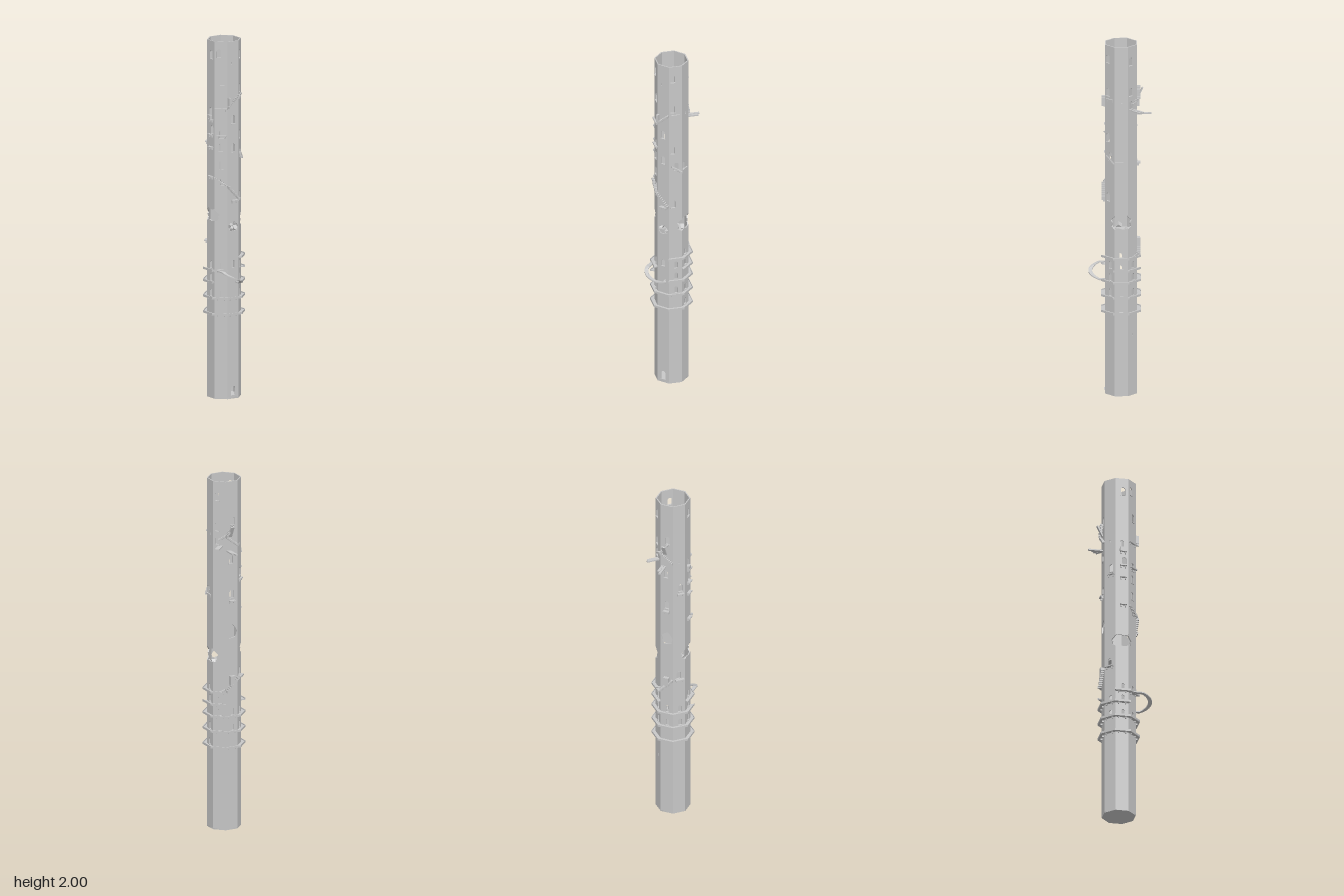
import * as THREE from 'three';

const CX = -0.008, CZ = -0.008;        // tower axis
const A = 0.0875;                      // apothem of the octagonal shaft
const T = Math.tan(Math.PI / 8);
const S = A * T;                       // half width of one side
const H = 2, WALL = 0.006;

// sides run 0 front, 1 front right, 2 +x, 3, 4 back, 5, 6 -x, 7 front left
const perSide = () => Array.from({ length: 8 }, () => []);
const points = list => list.map(([x, y]) => new THREE.Vector2(x, y));

// arched openings: door, rows above the galleries, then scattered upper windows
function layOutWindows() {
  const sides = perSide();
  const put = (k, u, y, w = 0.024, h = 0.047) => sides[k].push({ u, y, w, h });
  put(0, 0, 0.02, 0.028, 0.05);
  put(2, 0, 0.48, 0.02, 0.035);
  put(2, 0, 0.795, 0.02, 0.035);
  put(0, 0, 0.735, 0.02, 0.04);
  for (const k of [1, 2, 3, 4, 5, 6, 7]) put(k, 0.004, 0.57, 0.02, 0.04);
  for (const k of [1, 3, 4, 5, 6]) put(k, 0.004, 0.657, 0.02, 0.04);
  for (const k of [1, 2, 3, 6, 7]) put(k, 0.004, 0.727, 0.02, 0.04);
  const upper = {
    0: [[0, 1.54], [0, 1.38]],
    1: [[-0.014, 1.9], [-0.014, 1.71], [-0.014, 1.45], [0.006, 1.345], [-0.012, 1.11]],
    2: [[-0.018, 1.34]],
    3: [[-0.014, 1.89], [-0.014, 1.715], [-0.012, 1.64]],
    4: [[0.005, 1.75], [-0.005, 1.53], [0, 1.33]],
    5: [[0.008, 1.44], [-0.002, 0.875]],
    6: [[0.006, 1.9], [0, 1.58], [0.012, 1.48]],
    7: [[-0.012, 1.91], [0.008, 1.755], [0.004, 1.46], [0, 1.385], [0, 1.285], [0.01, 1.195]],
  };
  for (const k in upper) for (const [u, y] of upper[k]) put(k, u, y);
  // narrow slits
  for (const [k, u, y] of [[0, -0.01, 1.87], [2, 0.003, 1.68], [3, 0, 0.34], [5, 0, 1.62]]) put(k, u, y, 0.007, 0.016);
  return sides;
}

function arch({ u, y, w, h }) {
  const p = new THREE.Path(), r = w / 2;
  p.moveTo(u - r, y);
  p.lineTo(u + r, y);
  p.lineTo(u + r, y + h - r);
  p.absarc(u, y + h - r, r, 0, Math.PI, false);
  p.lineTo(u - r, y);
  return p;
}

// wall outlines; a gap splits one side and bites into both neighbours
function layOutWalls() {
  const corners = [[-S, 0], [S, 0], [S, H], [-S, H]];
  const walls = Array.from({ length: 8 }, () => [corners]);
  const gap = (k, lo, hi) => {
    const ragged = y => [-1, -0.4, 0.3, 1].map((t, i) => [t * S, y + (i % 2 ? 0.007 : 0)]);
    const bite = [[S, lo], [0.012, lo + 0.015], [0.018, (lo + hi) / 2], [0.007, hi - 0.025], [S, hi]];
    walls[k] = [
      [[S, 0], ...ragged(lo).reverse(), [-S, 0]],
      [...ragged(hi), [S, H], [-S, H]],
    ];
    walls[k - 1] = [[[-S, 0], [S, 0], ...bite, [S, H], [-S, H]]];
    walls[k + 1] = [[[-S, 0], ...bite.map(([x, y]) => [-x, y]), [-S, H], [S, H], [S, 0]]];
  };
  gap(2, 0.955, 1.03);
  gap(6, 0.99, 1.055);
  return walls;
}

// irregular breach: a rounded ring of corners with a wobbling radius
function breach(y, rx, ry) {
  return new THREE.Path(points(Array.from({ length: 9 }, (_, i) => {
    const a = i / 9 * Math.PI * 2, r = 1 - 0.15 * (i % 2);
    return [Math.cos(a) * rx * r, y + Math.sin(a) * ry * r];
  })));
}

export function createModel() {
  const model = new THREE.Group();
  model.name = 'octagonalTower';
  const stone = new THREE.MeshStandardMaterial({ color: 0xc8c8c8 });
  stone.name = 'grey stone';

  const add = (parent, name, geometry, x = 0, y = 0, z = 0) => {
    const mesh = new THREE.Mesh(geometry, stone);
    mesh.name = name;
    mesh.position.set(x, y, z);
    parent.add(mesh);
    return mesh;
  };
  const box = (parent, name, w, h, d, x, y, z) => add(parent, name, new THREE.BoxGeometry(w, h, d), x, y, z);

  // one group per side: local x runs along the wall, local z points outward
  const sides = perSide().map((_, k) => {
    const side = new THREE.Group();
    side.name = 'towerSide' + k;
    side.position.set(CX, 0, CZ);
    side.rotation.y = k * Math.PI / 4;
    model.add(side);
    return side;
  });

  // walls with arched openings, sills and breaches
  const windows = layOutWindows(), walls = layOutWalls();
  sides.forEach((side, k) => {
    for (const outline of walls[k]) {
      const shape = new THREE.Shape(points(outline));
      const ys = outline.map(p => p[1]), lo = Math.min(...ys), hi = Math.max(...ys);
      for (const w of windows[k]) if (w.y > lo && w.y < hi) shape.holes.push(arch(w));
      if (k === 0) shape.holes.push(breach(0.963, 0.034, 0.029));
      if (k === 4) shape.holes.push(breach(1.135, 0.034, 0.042));
      add(side, 'wall', new THREE.ExtrudeGeometry(shape, { depth: WALL, bevelEnabled: false, curveSegments: 8 }), 0, 0, A - WALL);
    }
    for (const { u, y, w } of windows[k]) {
      if (w > 0.015) box(side, 'windowSill', w + 0.004, 0.004, 0.008, u, y - 0.002, A);
    }
  });

  // base and inner floors
  const floor = (name, y, apothem) => {
    const r = apothem / Math.cos(Math.PI / 8);
    const g = new THREE.CylinderGeometry(r, r, 0.008, 8);
    g.rotateY(Math.PI / 8);
    add(model, name, g, CX, y, CZ);
  };
  floor('base', 0.004, A);
  floor('innerFloor', 0.915, A - 0.002);
  box(model, 'innerPlatform', 0.06, 0.012, 0.1, -0.011, 0.925, 0.005);

  // rubble left around the breaches
  [[-0.022, 0.055, 0.03], [0.012, 0.06, 0.022], [0.05, 0.03, 0.03], [0.055, -0.03, 0.026], [-0.06, 0.01, 0.03]].forEach(([x, z, s], i) => {
    const m = box(model, 'rubble', s, s * 0.9, s * 0.7, CX + x, 0.935 + (i % 2) * 0.008, CZ + z);
    m.rotation.set(0.2 * i, 0.7 * i, 0.25);
  });

  // galleries: mitred slabs with a low lip around chosen sides
  const OUT = 0.109;
  const band = (k, a, h, y) => {
    const s = new THREE.Shape(points([[-a * T, -a], [a * T, -a], [OUT * T, -OUT], [-OUT * T, -OUT]]));
    const g = new THREE.ExtrudeGeometry(s, { depth: h, bevelEnabled: false });
    g.rotateX(-Math.PI / 2);
    add(sides[k], 'gallery', g, 0, y, 0);
  };
  const gallery = (y, list) => {
    for (const k of list) {
      band(k, A - 0.001, 0.006, y - 0.004);
      band(k, OUT - 0.003, 0.006, y + 0.002);
      for (const u of [-0.02, 0.02]) box(sides[k], 'galleryBracket', 0.005, 0.008, 0.012, u, y - 0.008, A + 0.005);
    }
  };
  gallery(0.475, [0, 1, 2, 3, 4, 5, 6, 7]);
  gallery(0.565, [0, 1, 2, 3, 4, 5, 6, 7]);
  gallery(0.652, [1, 2, 3, 4, 5, 6]);
  gallery(0.72, [7, 6, 3, 2]);
  gallery(0.79, [1, 2, 3]);

  // stepped stairs climbing along a side
  const stair = (k, u0, y0, u1, y1, depth = 0.02, n = 9) => {
    for (let i = 0; i < n; i++) {
      const t = (i + 0.5) / n;
      box(sides[k], 'stairStep', Math.abs(u1 - u0) / n + 0.0005, Math.abs(y1 - y0) / n + 0.005, depth,
        u0 + (u1 - u0) * t, y0 + (y1 - y0) * t, A + depth / 2 - 0.001);
    }
  };
  stair(0, -S, 1.63, S, 1.695);
  stair(7, -S, 1.24, S, 1.19, 0.016);
  stair(0, -S, 1.19, S, 1.115);
  stair(4, -S, 0.795, S, 0.87);
  stair(3, 0, 0.79, S, 0.81);
  stair(1, -0.02, 1.37, S, 1.33, 0.012);
  stair(3, -0.005, 1.665, S, 1.69, 0.015, 5);
  stair(4, -S, 1.69, 0.01, 1.75);
  stair(4, -S, 1.685, S, 1.63, 0.015);

  // bracketed ledges
  const ledge = (k, u, y, w, d) => {
    box(sides[k], 'ledge', w, 0.007, d, u, y, A + d / 2 - 0.001);
    for (const e of [-1, 1]) box(sides[k], 'ledgeBracket', 0.005, 0.012, d * 0.6, u + e * w * 0.35, y - 0.009, A + d * 0.3 - 0.001);
  };
  ledge(7, 0, 1.625, 0.07, 0.012);
  ledge(1, 0, 1.693, 0.05, 0.008);
  ledge(7, 0.005, 1.475, 0.055, 0.014);
  ledge(2, -0.01, 1.34, 0.045, 0.008);
  ledge(4, 0, 1.315, 0.035, 0.02);
  ledge(5, 0.008, 1.425, 0.04, 0.014);
  ledge(5, 0, 0.87, 0.05, 0.02);
  ledge(0, 0.005, 1.11, 0.04, 0.02);
  for (const y of [1.24, 1.405, 1.475, 1.56]) ledge(6, 0.006, y, 0.036, 0.018);

  // small enclosed bays
  box(sides[6], 'bay', 0.026, 0.022, 0.014, 0, 1.572, A + 0.007);
  box(sides[4], 'bay', 0.03, 0.05, 0.018, 0, 0.86, A + 0.009);
  box(sides[0], 'stairEndWall', 0.012, 0.045, 0.018, -0.03, 1.665, A + 0.009);

  // broken planks reaching out at the back
  box(sides[4], 'plank', 0.013, 0.007, 0.083, -0.011, 1.6, A + 0.039);
  box(sides[4], 'plank', 0.014, 0.007, 0.063, -0.024, 1.602, A + 0.029);
  box(sides[3], 'plank', 0.014, 0.007, 0.075, 0.012, 1.63, A + 0.034);
  box(sides[3], 'plank', 0.013, 0.007, 0.068, -0.002, 1.628, A + 0.03);
  box(sides[4], 'leaningPlank', 0.02, 0.07, 0.007, -0.01, 1.715, A + 0.016).rotation.x = 0.45;

  // looping ramp on the front, dropping from the upper to the lower gallery
  const R = 0.063, r = 0.042, loop = new THREE.Shape();
  loop.moveTo(R, -0.03);
  loop.absarc(0, 0, R, 0, Math.PI, false);
  loop.lineTo(-R, -0.05);
  loop.lineTo(-r, -0.05);
  loop.absarc(0, 0, r, Math.PI, 0, true);
  loop.lineTo(r, -0.03);
  const ramp = new THREE.ExtrudeGeometry(loop, { depth: 0.006, bevelEnabled: false, curveSegments: 28 });
  ramp.rotateX(Math.PI / 2);
  const p = ramp.attributes.position;
  for (let i = 0; i < p.count; i++) {
    const t = Math.atan2(Math.max(p.getZ(i), 0), -p.getX(i)) / Math.PI;
    p.setY(i, p.getY(i) + 0.723 - 0.069 * t);
  }
  ramp.computeVertexNormals();
  add(model, 'loopRamp', ramp, -0.037, 0, 0.107);

  return model;
}
